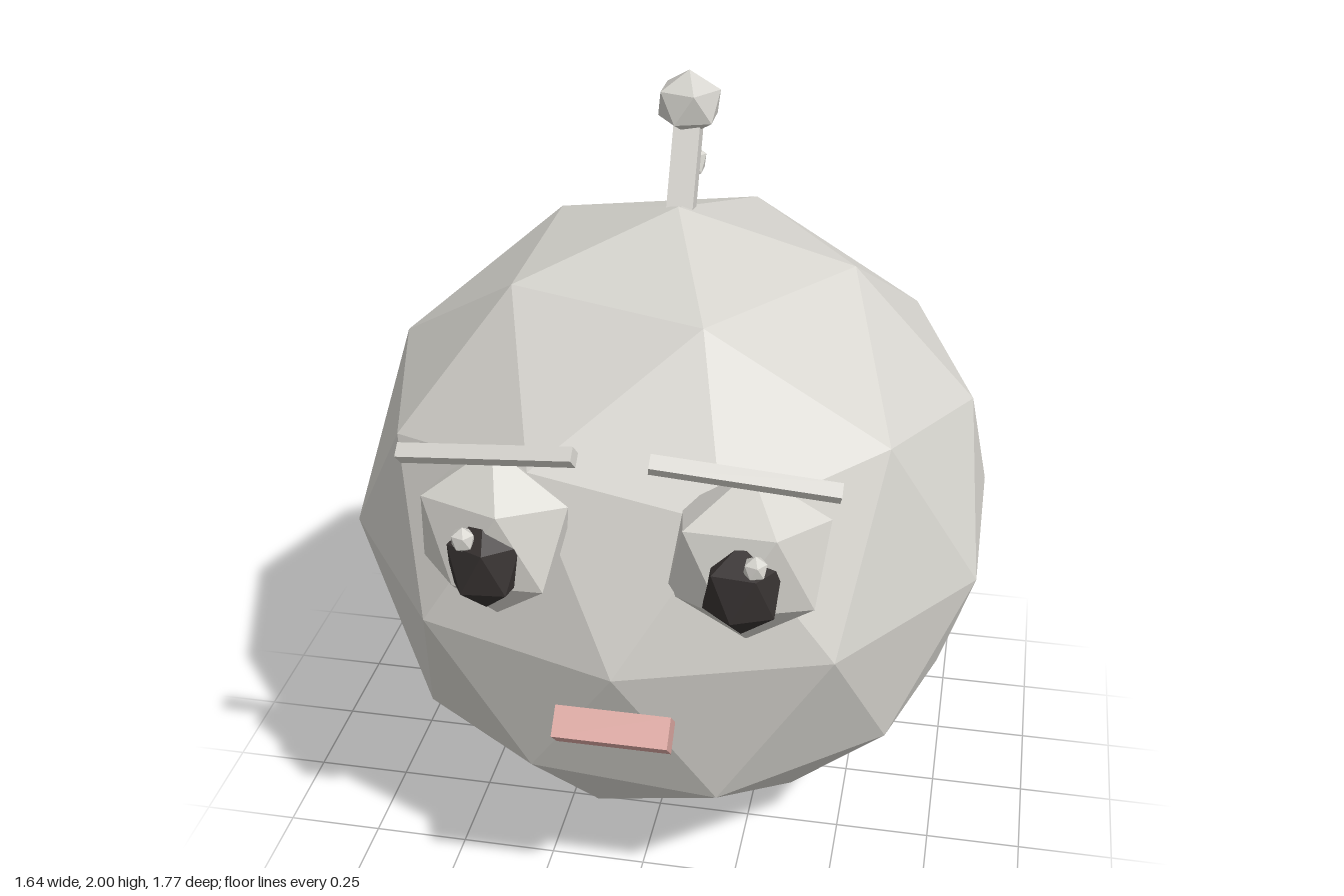
import * as THREE from 'three';

export function createModel() {
  const model = new THREE.Group();
  const flat = (name, color) =>
    new THREE.MeshStandardMaterial({ name, color, flatShading: true });
  const grey = flat('pale grey', 0xd6d4ce);
  const dark = flat('near black', 0x363130);
  const pink = flat('dusty pink', 0xdca8a2);

  function add(name, geometry, material, position, rotation = [0, 0, 0]) {
    const mesh = new THREE.Mesh(geometry, material);
    mesh.name = name;
    mesh.position.set(...position);
    mesh.rotation.set(...rotation);
    model.add(mesh);
    return mesh;
  }

  // Faceted ball with a corner at the top and an upper ring corner on +x
  function ball(rx, ry, rz, detail = 0) {
    const g = new THREE.IcosahedronGeometry(1, detail);
    g.rotateX(-Math.atan((1 + Math.sqrt(5)) / 2));
    g.rotateY(Math.PI / 2);
    g.scale(rx, ry, rz);
    return g;
  }

  // Head
  add('head', ball(0.862, 0.847, 0.862, 1), grey, [0, 0.847, -0.02]);

  // Eyes and brows, one set per side
  for (const [side, s] of [['left', 1], ['right', -1]]) {
    const turn = [-0.07, s * 0.17, 0];
    add(side + 'Eye', ball(0.21, 0.218, 0.135), grey, [s * 0.3, 1.148, 0.715], turn);
    add(side + 'Pupil', ball(0.1, 0.12, 0.088), dark, [s * 0.3, 1.12, 0.805], turn);
    add(side + 'Glint', ball(0.03, 0.032, 0.03), grey, [s * 0.335, 1.203, 0.85]);
    add(side + 'Brow', new THREE.BoxGeometry(0.43, 0.036, 0.036), grey,
      [s * 0.297, 1.38, 0.765], [0.68, 0, -s * 0.165]);
  }

  // Mouth bar, standing on its edge
  add('mouth', new THREE.BoxGeometry(0.28, 0.077, 0.077), pink,
    [0, 0.695, 0.825], [Math.PI / 4, 0, 0]);

  // Leaning antenna with a large and a small bobble
  add('antennaStem', new THREE.BoxGeometry(0.068, 0.22, 0.055), grey,
    [0, 1.765, -0.113], [-0.5, 0, 0]);
  add('antennaBall', ball(0.09, 0.085, 0.09), grey, [0, 1.915, -0.175]);
  add('smallBall', ball(0.05, 0.05, 0.05), grey, [0, 1.76, -0.175]);

  return model;
}
